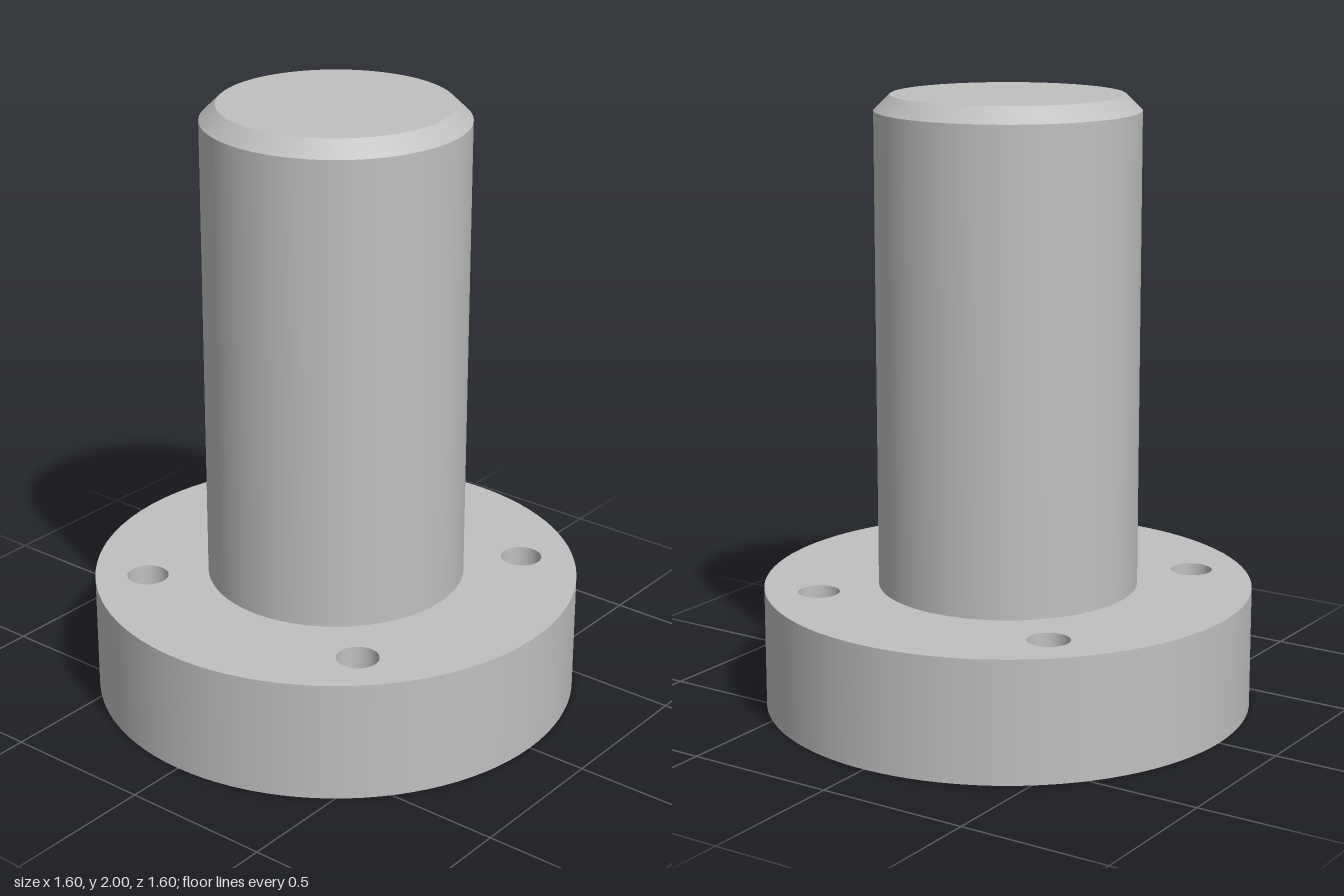
import * as THREE from 'three';
import { mergeGeometries } from 'three/addons/utils/BufferGeometryUtils.js';

const SEGMENTS = 96;
const FLANGE_R = 0.8, FLANGE_H = 0.4;
const SHAFT_R = 0.425, TOP_R = 0.373, HEIGHT = 2, CHAMFER = 0.05;
const HOLE_R = 0.068, HOLE_POS = 0.443, HOLE_DEPTH = 0.3;

// Revolves a profile with every edge kept sharp: one lathe band per segment
function revolve(profile) {
  const bands = [];
  for (let i = 0; i < profile.length - 1; i++) {
    const pair = [profile[i], profile[i + 1]].map(([r, y]) => new THREE.Vector2(r, y));
    bands.push(new THREE.LatheGeometry(pair, SEGMENTS));
  }
  return mergeGeometries(bands);
}

export function createModel() {
  const group = new THREE.Group();
  const steel = new THREE.MeshStandardMaterial({ color: 0xc0c0c0 });
  steel.name = 'steel grey';

  const add = (name, geometry) => {
    const mesh = new THREE.Mesh(geometry, steel);
    mesh.name = name;
    group.add(mesh);
    return mesh;
  };

  // Solid underside and rim of the flange
  add('flangeBody', revolve([[0, 0], [FLANGE_R, 0], [FLANGE_R, FLANGE_H]]));

  // Shaft with a chamfered end
  add('shaft', revolve([
    [SHAFT_R, FLANGE_H], [SHAFT_R, HEIGHT - CHAMFER], [TOP_R, HEIGHT], [0, HEIGHT],
  ]));

  // Flange top face, open at the shaft and the bolt holes
  const face = new THREE.Shape();
  face.absarc(0, 0, FLANGE_R, 0, Math.PI * 2);
  const cut = (x, y, r) => {
    const hole = new THREE.Path();
    hole.absarc(x, y, r, 0, Math.PI * 2, true);
    face.holes.push(hole);
  };
  cut(0, 0, SHAFT_R);

  // Four blind bolt holes: wall facing inward, then floor
  const holeGeometry = revolve([
    [HOLE_R, FLANGE_H], [HOLE_R, FLANGE_H - HOLE_DEPTH], [0, FLANGE_H - HOLE_DEPTH],
  ]);
  for (const sx of [-1, 1]) {
    for (const sz of [-1, 1]) {
      cut(sx * HOLE_POS, -sz * HOLE_POS, HOLE_R);
      add('boltHole', holeGeometry).position.set(sx * HOLE_POS, 0, sz * HOLE_POS);
    }
  }

  const top = new THREE.ShapeGeometry(face, SEGMENTS / 2);
  top.rotateX(-Math.PI / 2).translate(0, FLANGE_H, 0);
  add('flangeTop', top);

  return group;
}
